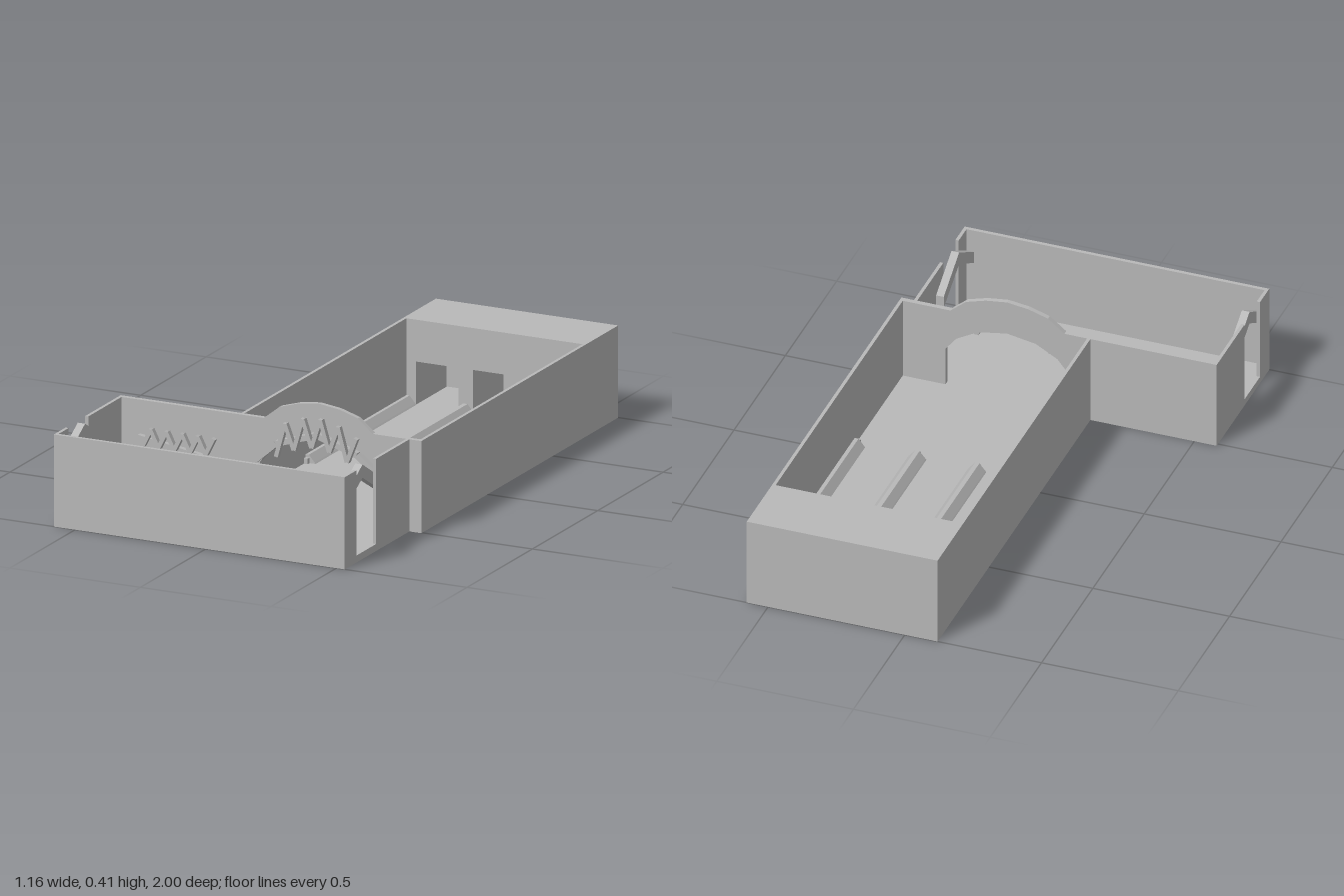
import * as THREE from 'three';

export function createModel() {
  const root = new THREE.Group();
  root.name = 'openRoofHall';
  const plaster = new THREE.MeshStandardMaterial({ color: 0xb8b8b8 });
  plaster.name = 'plain grey';

  const add = (name, geometry) => {
    const mesh = new THREE.Mesh(geometry, plaster);
    mesh.name = name;
    root.add(mesh);
    return mesh;
  };
  // box given by its limits on each axis
  const box = (name, x0, x1, y0, y1, z0, z1) => {
    const mesh = add(name, new THREE.BoxGeometry(x1 - x0, y1 - y0, z1 - z0));
    mesh.position.set((x0 + x1) / 2, (y0 + y1) / 2, (z0 + z1) / 2);
    return mesh;
  };
  const shapeOf = (points) => new THREE.Shape(points.map(([x, y]) => new THREE.Vector2(x, y)));
  const extrude = (shape, depth) => new THREE.ExtrudeGeometry(shape, { depth, bevelEnabled: false });

  const H = 0.33, F = 0.025, W = 0.012;
  const hall = { x0: -0.12, x1: 0.578, z0: -1, z1: 0.505 };
  const lobby = { x0: -0.582, x1: 0.532, z0: 0.49, z1: 1 };

  // Floors
  box('hallFloor', hall.x0, hall.x1, 0, F, hall.z0, 0.49);
  box('lobbyFloor', lobby.x0, lobby.x1, 0, F, lobby.z0, lobby.z1);

  // Hall walls, roof over the far end and its fascia
  box('hallRightWall', hall.x0, hall.x0 + W, 0, H, hall.z0, 0.49);
  box('hallLeftWall', hall.x1 - W, hall.x1, 0, H, hall.z0, hall.z1);
  box('hallBackWall', hall.x0, hall.x1, 0, H, hall.z0, hall.z0 + W);
  box('endRoof', hall.x0, hall.x1, H - W, H, hall.z0, -0.75);
  box('endFascia', hall.x0 + W, hall.x1 - W, 0.18, H - 0.001, -0.765, -0.75);

  // Lobby front wall, and side walls split by full-height doorways
  box('lobbyFrontWall', lobby.x0, lobby.x1, 0, H, 0.986, 1);
  for (const [x0, side] of [[lobby.x0, 'right'], [lobby.x1 - W, 'left']]) {
    box(side + 'WallRear', x0, x0 + W, 0, H, lobby.z0, 0.76);
    box(side + 'WallFront', x0, x0 + W, 0, H, 0.91, 0.99);
    // gabled door frame standing just inside the wall
    const gable = extrude(shapeOf([
      [0.69, 0.24], [0.84, H], [0.984, 0.245], [0.984, 0.2], [0.84, 0.283], [0.69, 0.195],
    ]), 0.028);
    gable.rotateY(-Math.PI / 2);
    const frame = add(side + 'DoorGable', gable);
    frame.position.x = side === 'right' ? x0 + W + 0.028 : x0;
  }

  // Partition with raised arch and arched opening
  const partition = shapeOf([
    [lobby.x0, 0], [hall.x1, 0], [hall.x1, H], [0.392, H], [0.335, 0.378], [0.262, 0.4],
    [0.185, 0.41], [0.108, 0.4], [0.035, 0.378], [-0.025, H], [lobby.x0, H],
  ]);
  partition.holes.push(new THREE.Path([
    [-0.04, F], [-0.04, 0.17], [0.0, 0.22], [0.08, 0.265], [0.185, 0.283],
    [0.29, 0.265], [0.37, 0.22], [0.41, 0.17], [0.41, F],
  ].map(([x, y]) => new THREE.Vector2(x, y))));
  add('archedPartition', extrude(partition, 0.018)).position.z = 0.488;

  // Lane dividers: sloped ridge, slim end post and pillar under the fascia
  const ridge = extrude(shapeOf([
    [-0.033, F], [0.033, F], [0.03, F + 0.004], [0.008, F + 0.03],
    [-0.008, F + 0.03], [-0.03, F + 0.004],
  ]), 0.77);
  [-0.1, 0.118, 0.337, 0.556].forEach((x) => {
    const clamp = (v) => Math.min(hall.x1 - W, Math.max(hall.x0 + W, v));
    if (x === -0.1 || x === 0.556) {
      const s = Math.sign(x);
      const half = shapeOf(s < 0
        ? [[-0.008, F], [0.03, F], [0.026, F + 0.005], [0.004, F + 0.03], [-0.008, F + 0.03]]
        : [[-0.028, F], [0.01, F], [0.01, F + 0.03], [-0.004, F + 0.03], [-0.024, F + 0.005]]);
      add('edgeRail', extrude(half, 0.77)).position.set(x, 0, -0.75);
    } else {
      add('laneDivider', ridge).position.set(x, 0, -0.75);
    }
    box('dividerEnd', x - 0.007, x + 0.007, F, F + 0.02, 0.015, 0.035);
    box('lanePillar', clamp(x - 0.028), clamp(x + 0.028), F, 0.19, -0.985, -0.752);
  });

  // Abstract zigzag ornaments on the lobby side of the partition
  const bar = (name, xa, ya, xb, yb, z, thick, depth) => {
    const mesh = add(name, new THREE.BoxGeometry(Math.hypot(xb - xa, yb - ya), thick, depth));
    mesh.position.set((xa + xb) / 2, (ya + yb) / 2, z);
    mesh.rotation.z = Math.atan2(yb - ya, xb - xa);
  };
  const zigzag = (name, x0, x1, count, low, high) => {
    for (let i = 0; i < count; i++) {
      const a = i / count, b = (i + 1) / count;
      const xa = x0 + (x1 - x0) * a, xb = x0 + (x1 - x0) * b;
      const ya = i % 2 ? high(a) : low(a), yb = i % 2 ? low(b) : high(b);
      bar(name, xa, ya, xb, yb, 0.536, 0.015, 0.018);
    }
  };
  const hump = (t) => 0.05 * Math.sin(Math.PI * t);
  zigzag('archOrnament', 0.04, 0.345, 9, (t) => 0.21 + hump(t), (t) => 0.315 + hump(t));
  zigzag('upperWallOrnament', -0.47, -0.2, 9, () => 0.18, () => 0.24);
  zigzag('lowerWallOrnament', -0.4, -0.11, 9, () => 0.09, () => 0.15);

  // Backing strips behind the ornaments
  bar('wallOrnamentBacking', -0.5, 0.2, -0.07, 0.13, 0.515, 0.02, 0.02);
  const arc = [[-0.05, 0.18], [0.03, 0.25], [0.185, 0.3], [0.34, 0.25], [0.43, 0.18]];
  for (let i = 0; i < arc.length - 1; i++) {
    bar('archOrnamentBacking', ...arc[i], ...arc[i + 1], 0.515, 0.02, 0.025);
  }
  return root;
}
